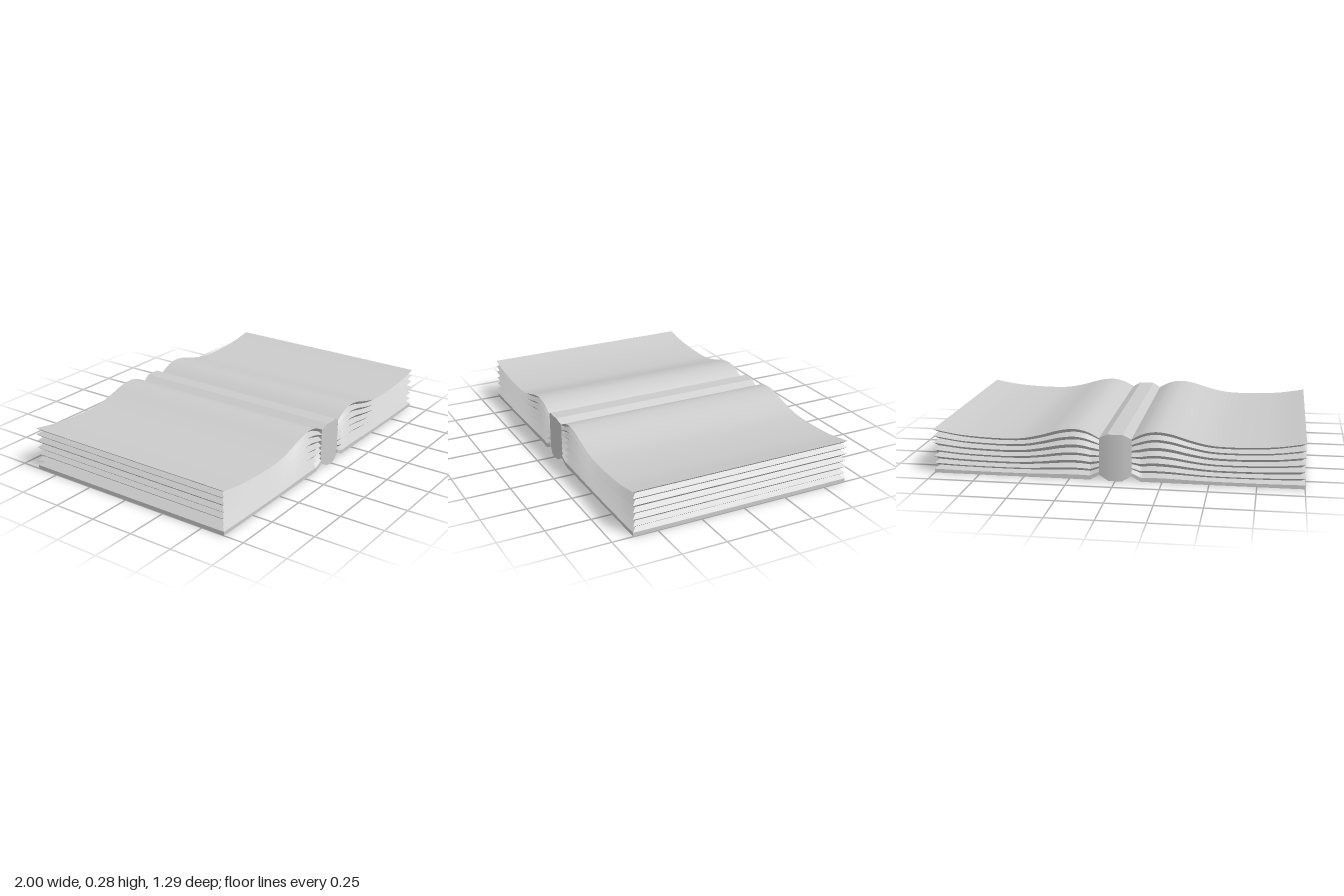
import * as THREE from 'three';
import { toCreasedNormals } from 'three/addons/utils/BufferGeometryUtils.js';

const INNER = 0.087;
const HALF_DEPTH = 0.635;
const PLEAT = 0.024;
// Heights (top to bottom) of the page folds, as shares of the thickness; every second one is a valley
const LEVELS = [0.25, 0.231, 0.212, 0.193, 0.173, 0.152, 0.133, 0.114, 0.095, 0.075, 0.057, 0.04, 0.022, 0]
  .map((y) => y / 0.25);

// Underside is flat except for a hinge groove on each side of the spine
const bottomAt = (x) => 0.028 * Math.max(0, 1 - Math.abs(Math.abs(x) - INNER) / 0.05);

// Joins closed rings (front edge down, back edge up) along x and closes both ends
function loft(rings, crease) {
  const n = rings[0].length;
  const index = [];
  const quad = (a, b, c, d) => index.push(a, b, d, b, c, d);
  for (let c = 0; c < rings.length - 1; c++) {
    for (let j = 0; j < n; j++) {
      const k = (j + 1) % n;
      quad(c * n + j, c * n + k, (c + 1) * n + k, (c + 1) * n + j);
    }
  }
  const end = (rings.length - 1) * n;
  for (let j = 0; j < n / 2 - 1; j++) {
    quad(end + j, end + j + 1, end + n - 2 - j, end + n - 1 - j);
    quad(n - 1 - j, n - 2 - j, j + 1, j);
  }
  const g = new THREE.BufferGeometry();
  g.setAttribute('position', new THREE.Float32BufferAttribute(rings.flat(2), 3));
  g.setIndex(index);
  return toCreasedNormals(g, crease);
}

// One cross-section of the book at x
function ring(x, top, halfDepth, pleat) {
  const low = bottomAt(x);
  const front = LEVELS.map((t, i) => {
    const inset = i % 2 && i < LEVELS.length - 1 ? pleat : 0;
    const px = x - inset * (x - INNER) / (1 - INNER);
    return [px, low + (top - low) * t, halfDepth - inset];
  });
  const back = front.map(([px, y, z]) => [px, y, -z]).reverse();
  return [...front, ...back];
}

function pagesGeometry() {
  const curve = new THREE.CatmullRomCurve3([
    [INNER, 0.232], [0.12, 0.25], [0.16, 0.267], [0.22, 0.277], [0.3, 0.267], [0.4, 0.238],
    [0.5, 0.216], [0.6, 0.21], [0.74, 0.213], [0.86, 0.222], [1, 0.245],
  ].map(([x, y]) => new THREE.Vector3(x, y, 0)));
  return loft(curve.getPoints(60).map((p) => ring(p.x, p.y, HALF_DEPTH, PLEAT)), 0.6);
}

function spineGeometry() {
  const xs = [-INNER, -0.065, -0.042, -0.037, -0.018, 0, 0.018, 0.037, 0.042, 0.065, INNER];
  return loft(xs.map((x) => {
    const u = Math.abs(x) / INNER;
    const top = 0.232 + 0.024 * Math.min(1, (1 - u) / 0.52);
    return ring(x, top, 0.632 + 0.013 * (1 - u * u), 0);
  }), 0.4);
}

export function createModel() {
  const book = new THREE.Group();
  book.name = 'openBook';
  const material = new THREE.MeshStandardMaterial({ color: 0xcccccc });
  const add = (name, geometry) => {
    const mesh = new THREE.Mesh(geometry, material);
    mesh.name = name;
    book.add(mesh);
    return mesh;
  };

  // Two page blocks, the second turned half round
  const pages = pagesGeometry();
  add('leftPages', pages);
  add('rightPages', pages).rotation.y = Math.PI;

  // Rounded spine between them
  add('spine', spineGeometry());
  return book;
}
